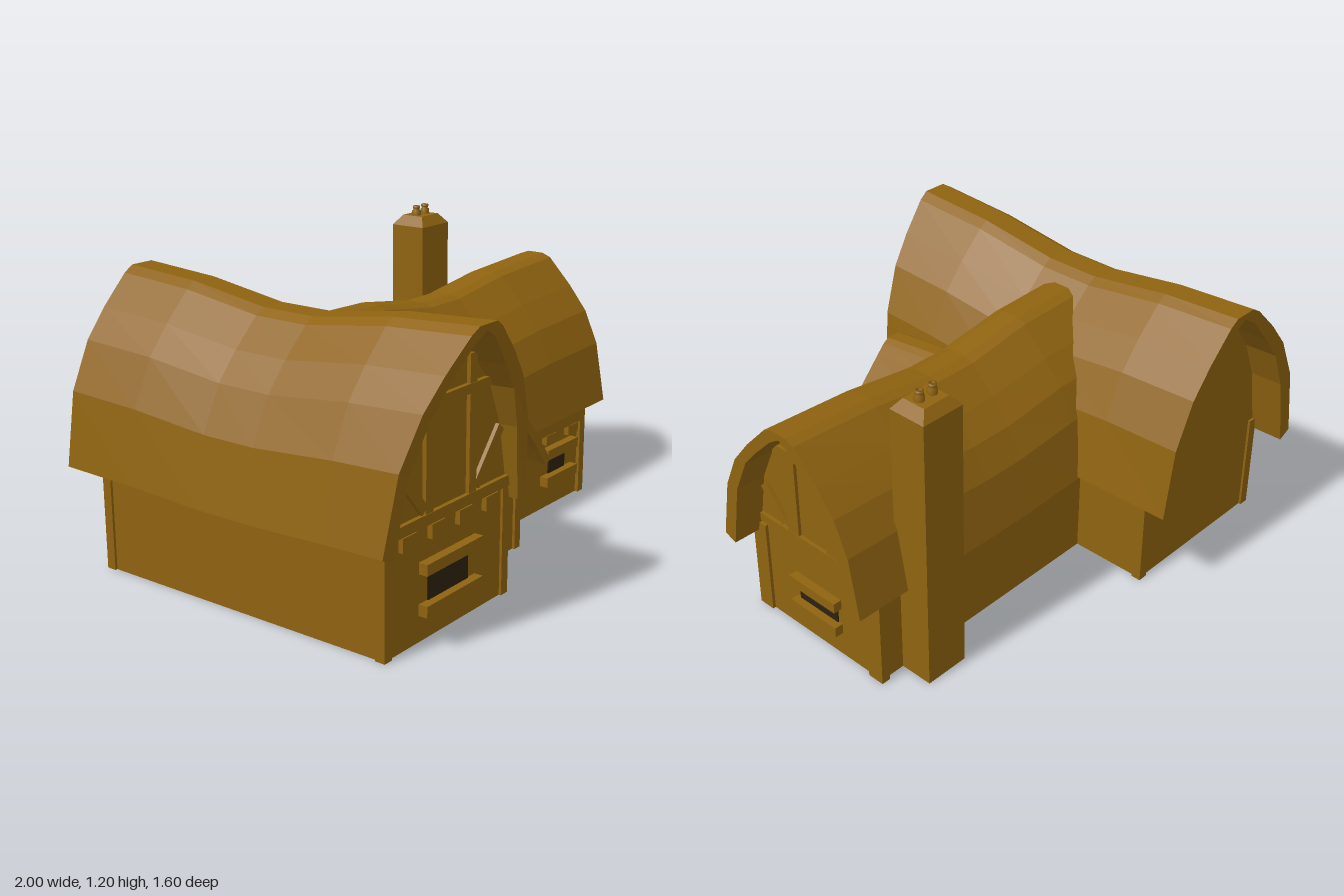
import * as THREE from 'three';

const timber = new THREE.MeshStandardMaterial({ color: 0x8f6310 });
timber.name = 'warm brown';
const shade = new THREE.MeshStandardMaterial({ color: 0x2e2210 });
shade.name = 'dark opening';

function add(parent, name, geometry, material = timber) {
  const mesh = new THREE.Mesh(geometry, material);
  mesh.name = name;
  parent.add(mesh);
  return mesh;
}

// Box given by its limits on each axis
function block(parent, name, x0, x1, y0, y1, z0, z1, material) {
  const mesh = add(parent, name, new THREE.BoxGeometry(x1 - x0, y1 - y0, z1 - z0), material);
  mesh.position.set((x0 + x1) / 2, (y0 + y1) / 2, (z0 + z1) / 2);
  return mesh;
}

// Sloping beam lying on a wall facing +z
function brace(parent, x0, y0, x1, y1, z, width = 0.04) {
  const length = Math.hypot(x1 - x0, y1 - y0);
  const mesh = add(parent, 'brace', new THREE.BoxGeometry(length, width, 0.02));
  mesh.position.set((x0 + x1) / 2, (y0 + y1) / 2, z);
  mesh.rotation.z = Math.atan2(y1 - y0, x1 - x0);
}

const mirrored = half => [...half, ...half.slice().reverse().map(([x, y]) => [-x, y])];

// Thick sagging thatch along z; stations are [z, sag], bulge pushes the front ridge forward
function roof(parent, outerHalf, innerHalf, stations, bulge = 0) {
  const outer = mirrored(outerHalf), inner = mirrored(innerHalf);
  const ring = [...outer, ...inner.slice().reverse()];
  const n = outer.length, m = ring.length;
  const low = outerHalf[0][1], high = outerHalf[outerHalf.length - 1][1];
  const positions = [], index = [];
  stations.forEach(([z, sag], s) => {
    for (const [x, y] of ring) {
      const t = Math.max(0, (y - low) / (high - low));
      const push = s === stations.length - 1 ? bulge * t ** 1.4 : 0;
      positions.push(x, y - sag * (0.25 + 0.75 * t), z + push);
    }
  });
  const quad = (a, b, c, d) => index.push(a, b, c, a, c, d);
  const last = (stations.length - 1) * m;
  for (let s = 0; s < last; s += m) {
    for (let i = 0; i < m; i++) {
      const j = (i + 1) % m;
      quad(s + i, s + j, s + m + j, s + m + i);
    }
  }
  for (let i = 0; i < n - 1; i++) {
    const a = m - 1 - i, b = m - 2 - i;
    quad(last + i, last + i + 1, last + b, last + a);
    quad(i, a, b, i + 1);
  }
  const geometry = new THREE.BufferGeometry();
  geometry.setAttribute('position', new THREE.Float32BufferAttribute(positions, 3));
  geometry.setIndex(index);
  const flat = geometry.toNonIndexed();
  flat.computeVertexNormals();
  add(parent, 'thatchRoof', flat);
}

// Gable wall filling the inside of the roof
function gable(parent, innerHalf, z0, z1) {
  const points = mirrored(innerHalf).map(([x, y]) => new THREE.Vector2(x, y));
  const geometry = new THREE.ExtrudeGeometry(new THREE.Shape(points), { depth: z1 - z0, bevelEnabled: false });
  add(parent, 'gableWall', geometry).position.z = z0;
}

// Dark window with a lintel and a sill
function windowSet(parent, x, halfWidth, halfSill, y0, y1, z) {
  block(parent, 'windowPane', x - halfWidth, x + halfWidth, y0, y1, z - 0.004, z + 0.004, shade);
  block(parent, 'windowSill', x - halfSill, x + halfSill, y0 - 0.042, y0, z - 0.01, z + 0.035);
  block(parent, 'windowLintel', x - halfSill, x + halfSill, y1, y1 + 0.042, z - 0.01, z + 0.035);
}

export function createModel() {
  const model = new THREE.Group();
  model.name = 'thatchedCottage';

  // Tall wing running front to back
  const tall = new THREE.Group();
  tall.name = 'tallWing';
  tall.position.x = -0.58;
  model.add(tall);
  const tallOuter = [[0.42, 0.395], [0.375, 0.68], [0.29, 0.86], [0.2, 0.97], [0.09, 1.08], [0.05, 1.105]];
  const tallInner = [[0.365, 0.37], [0.31, 0.66], [0.245, 0.82], [0.165, 0.925], [0.06, 1.045], [0.003, 1.08]];
  roof(tall, tallOuter, tallInner,
    [[-0.8, 0], [-0.47, 0.02], [-0.13, 0.07], [0.1, 0.07], [0.45, 0.02], [0.69, 0]], 0.11);
  block(tall, 'wall', -0.355, 0.355, 0, 0.42, -0.665, 0.645);
  gable(tall, tallInner, 0.6, 0.645);
  gable(tall, tallInner, -0.665, -0.62);
  for (const side of [-1, 1]) {
    for (const z of [-0.655, 0.635]) {
      block(tall, 'cornerPost', side * 0.345 - 0.02, side * 0.345 + 0.02, 0, 0.42, z - 0.02, z + 0.02);
    }
    const x = side * 0.125;
    block(tall, 'gablePost', x - 0.021, x + 0.021, 0.46, 0.82, 0.64, 0.66);
    block(tall, 'upperPost', x - 0.021, x + 0.021, 0.855, 0.96, 0.64, 0.66);
    brace(tall, side * 0.3, 0.655, side * 0.15, 0.475, 0.65);
  }
  block(tall, 'floorBeam', -0.355, 0.355, 0.42, 0.46, 0.635, 0.662);
  block(tall, 'collarBeam', -0.235, 0.235, 0.82, 0.855, 0.64, 0.662);
  for (let i = 0; i < 4; i++) {
    const x = -0.24 + i * 0.161;
    block(tall, 'joistEnd', x - 0.038, x + 0.038, 0.365, 0.418, 0.64, 0.665);
  }
  windowSet(tall, 0, 0.118, 0.165, 0.14, 0.25, 0.646);

  // Lower wing running sideways; its local z points to the model's left
  const low = new THREE.Group();
  low.name = 'lowWing';
  low.position.z = -0.02;
  low.rotation.y = Math.PI / 2;
  model.add(low);
  const lowOuter = [[0.365, 0.385], [0.32, 0.63], [0.26, 0.765], [0.18, 0.865], [0.075, 0.975], [0.035, 0.99]];
  const lowInner = [[0.31, 0.365], [0.265, 0.63], [0.2, 0.775], [0.13, 0.855], [0.05, 0.935], [0.003, 0.965]];
  roof(low, lowOuter, lowInner,
    [[-0.5, 0.005], [-0.16, 0.015], [0.13, 0.06], [0.32, 0.06], [0.62, 0.02], [1, 0]]);
  block(low, 'wall', -0.325, 0.325, 0, 0.42, -0.4, 0.875);
  gable(low, lowInner, 0.83, 0.875);
  for (const side of [-1, 1]) {
    block(low, 'cornerPost', side * 0.305 - 0.035, side * 0.305 + 0.035, 0, 0.4, 0.85, 0.888);
    block(low, 'gablePost', side * 0.105 - 0.03, side * 0.105 + 0.03, 0.455, 0.78, 0.87, 0.888);
    block(low, 'upperPost', side * 0.08 - 0.02, side * 0.08 + 0.02, 0.815, 0.88, 0.87, 0.888);
    brace(low, side * 0.255, 0.6, side * 0.15, 0.475, 0.88);
  }
  block(low, 'floorBeam', -0.29, 0.29, 0.42, 0.455, 0.865, 0.89);
  block(low, 'collarBeam', -0.185, 0.185, 0.78, 0.815, 0.87, 0.89);
  windowSet(low, 0, 0.103, 0.122, 0.148, 0.22, 0.876);

  // Front of the low wing
  const front = new THREE.Group();
  front.name = 'lowWingFront';
  model.add(front);
  block(front, 'wallBeam', 0.17, 0.86, 0.325, 0.37, 0.3, 0.325);
  for (let i = 0; i < 4; i++) {
    const x = 0.262 + i * 0.173;
    block(front, 'joistEnd', x - 0.038, x + 0.038, 0.285, 0.326, 0.3, 0.328);
  }
  windowSet(front, 0.682, 0.064, 0.118, 0.147, 0.224, 0.306);

  // Porch
  const porch = new THREE.Group();
  porch.name = 'porch';
  porch.position.x = -0.09;
  model.add(porch);
  const porchOuter = [[0.3, 0.385], [0.25, 0.455], [0.17, 0.56], [0.09, 0.655], [0.055, 0.695], [0.03, 0.712]];
  const porchInner = [[0.27, 0.37], [0.22, 0.44], [0.15, 0.53], [0.075, 0.61], [0.03, 0.65], [0.003, 0.665]];
  roof(porch, porchOuter, porchInner, [[0.15, 0], [0.3, 0], [0.565, 0.032]]);
  block(porch, 'wall', -0.16, 0.255, 0, 0.42, 0.28, 0.445);
  gable(porch, porchInner.map(([x, y]) => [x, y - 0.015]), 0.4, 0.445);
  block(porch, 'cornerPost', 0.23, 0.268, 0, 0.4, 0.42, 0.456);
  block(porch, 'backPost', 0.23, 0.268, 0, 0.4, 0.3, 0.335);
  block(porch, 'porchBeam', -0.1, 0.235, 0.42, 0.455, 0.44, 0.458);
  for (const x of [-0.02, 0.02]) {
    block(porch, 'gablePost', x - 0.012, x + 0.012, 0.455, 0.6, 0.44, 0.455);
  }

  // Arched doorway
  const arch = new THREE.Shape();
  arch.moveTo(-0.112, 0);
  arch.lineTo(0.112, 0);
  arch.bezierCurveTo(0.118, 0.2, 0.07, 0.36, 0, 0.36);
  arch.bezierCurveTo(-0.07, 0.36, -0.118, 0.2, -0.112, 0);
  const door = add(porch, 'doorway',
    new THREE.ExtrudeGeometry(arch, { depth: 0.006, bevelEnabled: false, curveSegments: 8 }), shade);
  door.position.set(0.005, 0, 0.443);

  // Small framed window beside the door
  block(porch, 'smallPane', 0.147, 0.21, 0.255, 0.325, 0.443, 0.45, shade);
  for (const x of [0.142, 0.215]) block(porch, 'frameSide', x - 0.006, x + 0.006, 0.245, 0.335, 0.44, 0.462);
  for (const y of [0.25, 0.33]) block(porch, 'frameRail', 0.137, 0.22, y - 0.006, y + 0.006, 0.44, 0.461);

  // Chimney with sloped cap and two pots
  const chimney = new THREE.Group();
  chimney.name = 'chimney';
  chimney.position.set(0.677, 0, -0.403);
  model.add(chimney);
  block(chimney, 'stack', -0.092, 0.092, 0, 1.12, -0.079, 0.079);
  const capShape = new THREE.CylinderGeometry(0.058 * Math.SQRT2, 0.092 * Math.SQRT2, 0.04, 4, 1)
    .rotateY(Math.PI / 4).scale(1, 1, 0.86).toNonIndexed();
  capShape.computeVertexNormals();
  add(chimney, 'cap', capShape).position.y = 1.14;
  const potProfile = [[0.019, 0], [0.019, 0.02], [0.012, 0.026], [0.016, 0.032], [0.016, 0.04], [0.009, 0.042], [0.009, 0.02], [0, 0.02]]
    .map(([r, y]) => new THREE.Vector2(r, y));
  for (const x of [-0.03, 0.03]) {
    add(chimney, 'pot', new THREE.LatheGeometry(potProfile, 10)).position.set(x, 1.159, 0);
    const hole = add(chimney, 'potOpening', new THREE.CircleGeometry(0.009, 10).rotateX(-Math.PI / 2), shade);
    hole.position.set(x, 1.181, 0);
  }

  return model;
}
